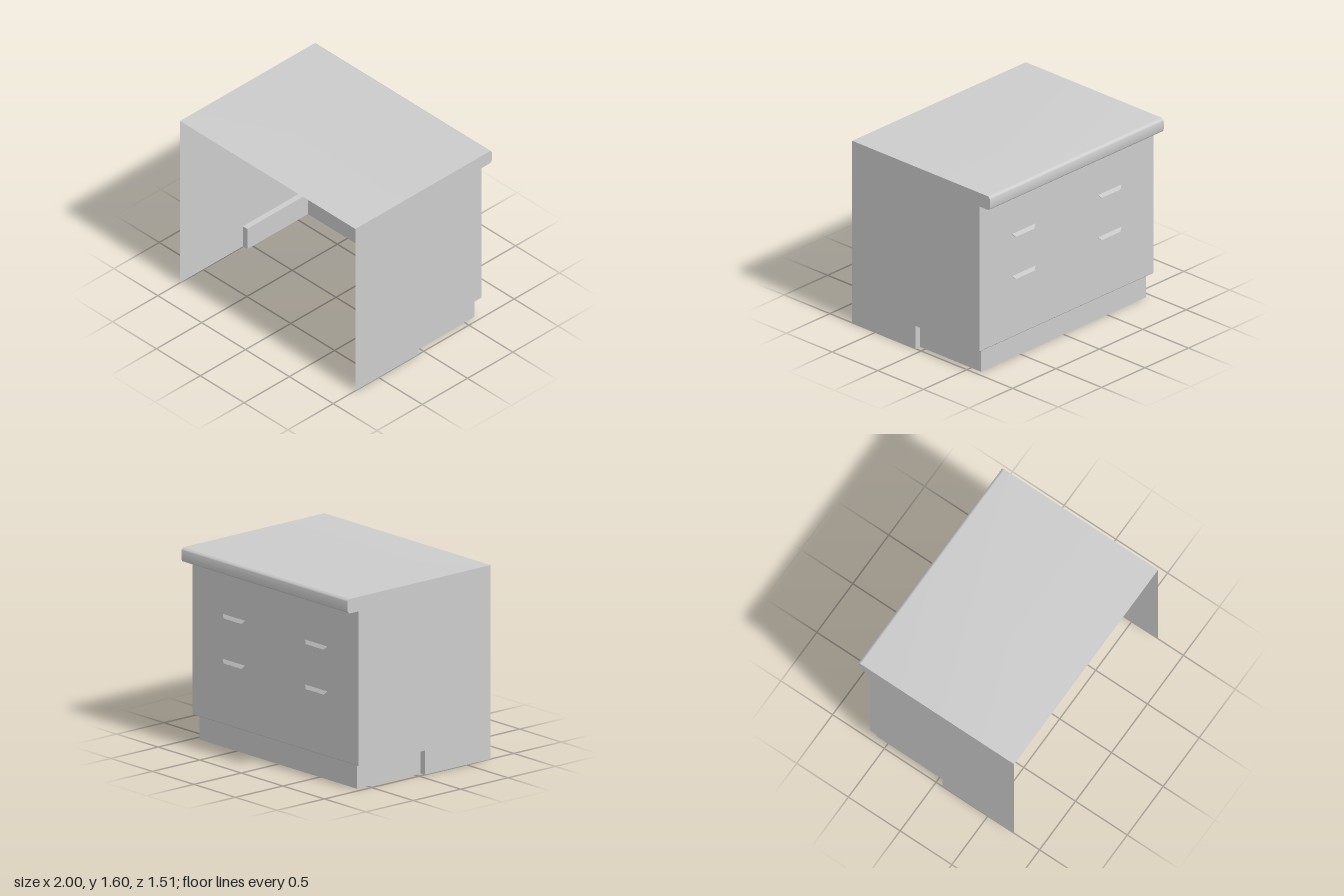
import * as THREE from 'three';
import { toCreasedNormals } from 'three/addons/utils/BufferGeometryUtils.js';

const material = new THREE.MeshStandardMaterial({ color: 0xcccccc, side: THREE.DoubleSide });

// Main dimensions
const HALF_W = 1, FRONT = 0.755, PANEL = -0.64, NOSE = -0.755;
const TOP = 1.6, NOSE_BOTTOM = 1.48, KICK_H = 0.2;
const KICK_X = 0.95, KICK_BACK = -0.61, KICK_FRONT = 0.06;

function addMesh(parent, name, geometry) {
  const mesh = new THREE.Mesh(geometry, material);
  mesh.name = name;
  parent.add(mesh);
  return mesh;
}

// Sheet swept between two copies of a path; start and end place a path point in space
function sheet(path, start, end) {
  const positions = [];
  for (let i = 0; i < path.length - 1; i++) {
    const a = start(path[i]), b = end(path[i]);
    const c = end(path[i + 1]), d = start(path[i + 1]);
    positions.push(...a, ...b, ...c, ...a, ...c, ...d);
  }
  const geometry = new THREE.BufferGeometry();
  geometry.setAttribute('position', new THREE.Float32BufferAttribute(positions, 3));
  geometry.computeVertexNormals();
  return toCreasedNormals(geometry, 0.7);
}

// Rounded corner points in (z, y)
function corner(cz, cy, r, from, steps = 6) {
  return Array.from({ length: steps + 1 }, (_, i) => {
    const t = from + (i / steps) * Math.PI / 2;
    return new THREE.Vector2(cz + r * Math.cos(t), cy + r * Math.sin(t));
  });
}

export function createModel() {
  const model = new THREE.Group();
  model.name = 'cabinet';

  // Section in (z, y): flat top, rounded nose, upright drawer panel
  const r = 0.03;
  const profile = [
    new THREE.Vector2(FRONT, TOP),
    ...corner(NOSE + r, TOP - r, r, Math.PI / 2),
    ...corner(NOSE + r, NOSE_BOTTOM + r, r, Math.PI),
    new THREE.Vector2(PANEL, NOSE_BOTTOM),
    new THREE.Vector2(PANEL, KICK_H + 0.008),
    new THREE.Vector2(PANEL + 0.008, KICK_H),
  ];
  addMesh(model, 'topAndDrawerPanel',
    sheet(profile, p => [-HALF_W, p.y, p.x], p => [HALF_W, p.y, p.x]));

  // Side walls, notched at the bottom for the toe kick
  const sideShape = new THREE.Shape([
    ...profile,
    new THREE.Vector2(KICK_FRONT, KICK_H),
    new THREE.Vector2(KICK_FRONT, 0),
    new THREE.Vector2(FRONT, 0),
  ]);
  for (const side of [-1, 1]) {
    const wall = addMesh(model, side > 0 ? 'leftWall' : 'rightWall', new THREE.ShapeGeometry(sideShape));
    wall.rotation.y = -Math.PI / 2;
    wall.scale.z = -side;
    wall.position.x = side * HALF_W;
  }

  // Recessed toe kick wrapping three sides
  const kickInner = [
    [KICK_X, KICK_FRONT], [KICK_X, KICK_BACK], [-KICK_X, KICK_BACK], [-KICK_X, KICK_FRONT],
  ].map(p => new THREE.Vector2(...p));
  const kickPath = [
    new THREE.Vector2(HALF_W, KICK_FRONT), ...kickInner, new THREE.Vector2(-HALF_W, KICK_FRONT),
  ];
  addMesh(model, 'toeKick', sheet(kickPath, p => [p.x, KICK_H, p.y], p => [p.x, 0, p.y]));

  // Ledge between the toe kick and the body
  const ledge = new THREE.ShapeGeometry(new THREE.Shape([
    ...kickPath,
    new THREE.Vector2(-HALF_W, PANEL + 0.008),
    new THREE.Vector2(HALF_W, PANEL + 0.008),
  ]));
  ledge.rotateX(Math.PI / 2);
  addMesh(model, 'toeKickLedge', ledge).position.y = KICK_H;

  // Tilted finger pulls: three rows, two columns
  const pull = new THREE.ExtrudeGeometry(new THREE.Shape([
    new THREE.Vector2(-0.135, 0),
    new THREE.Vector2(-0.108, -0.034),
    new THREE.Vector2(0.108, -0.034),
    new THREE.Vector2(0.135, 0),
  ]), { depth: 0.005, bevelEnabled: false });
  pull.rotateX(0.5);
  for (const y of [1.483, 1.112, 0.741]) {
    for (const x of [-0.495, 0.495]) {
      addMesh(model, 'drawerPull', pull).position.set(x, y, PANEL - 0.003);
    }
  }

  return model;
}
